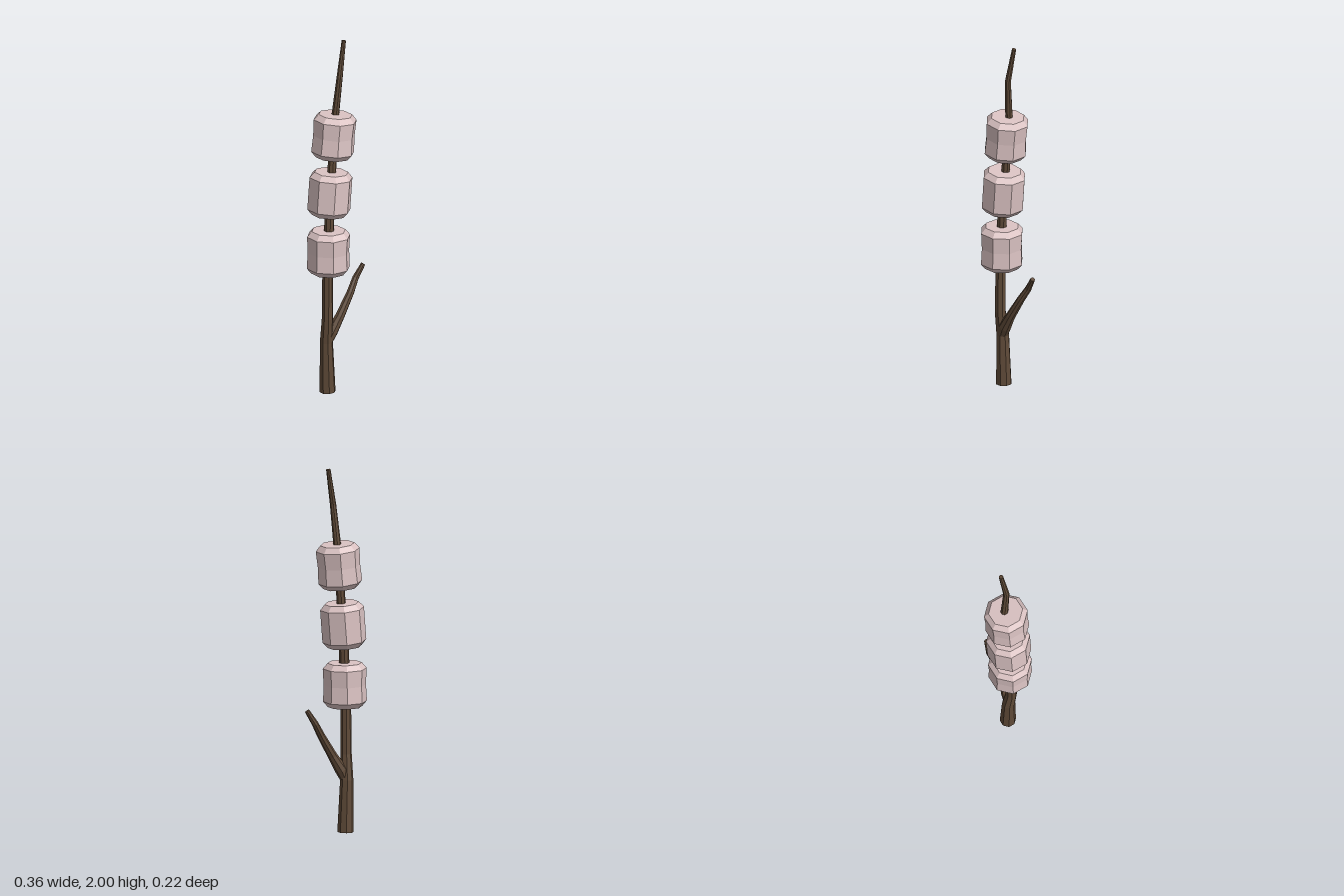
import * as THREE from 'three';

const SIDES = 8;

// Faceted, tapering limb through rows of [x, y, z, radius], closed at both ends
function limb(rows) {
  const centres = rows.map(([x, y, z]) => new THREE.Vector3(x, y, z));
  const last = rows.length - 1;
  const pos = [], index = [];
  rows.forEach(([, , , r], i) => {
    const t = centres[Math.min(i + 1, last)].clone().sub(centres[Math.max(i - 1, 0)]).normalize();
    const u = t.clone().cross(new THREE.Vector3(0, 0, 1)).normalize();
    const v = u.clone().cross(t);
    for (let j = 0; j < SIDES; j++) {
      const a = ((j + 0.5) / SIDES) * Math.PI * 2;
      const p = centres[i].clone().addScaledVector(u, r * Math.cos(a)).addScaledVector(v, r * Math.sin(a));
      pos.push(p.x, p.y, p.z);
    }
  });
  const bottom = pos.length / 3;
  pos.push(...centres[0].toArray(), ...centres[last].toArray());
  for (let j = 0; j < SIDES; j++) {
    const k = (j + 1) % SIDES;
    for (let i = 0; i < last; i++) {
      const a = i * SIDES, b = a + SIDES;
      index.push(a + j, b + j, a + k, a + k, b + j, b + k);
    }
    index.push(bottom, j, k, bottom + 1, last * SIDES + k, last * SIDES + j);
  }
  const g = new THREE.BufferGeometry();
  g.setAttribute('position', new THREE.Float32BufferAttribute(pos, 3));
  g.setIndex(index);
  g.computeVertexNormals();
  return g;
}

// Octagonal marshmallow with bevelled rims and a slightly pinched or bulging waist
function marshmallow(waist) {
  const profile = [[0, -0.12], [0.086, -0.12], [0.11, -0.09], [waist, 0], [0.11, 0.09], [0.086, 0.12], [0, 0.12]];
  const k = 1 / Math.cos(Math.PI / 8);
  return new THREE.LatheGeometry(profile.map(([r, y]) => new THREE.Vector2(r * k, y)), 8, Math.PI / 8);
}

export function createModel() {
  const model = new THREE.Group();
  model.name = 'marshmallowStick';

  const bark = new THREE.MeshStandardMaterial({ color: 0x5f4a38 });
  bark.name = 'bark';
  bark.flatShading = true;
  const candy = new THREE.MeshStandardMaterial({ color: 0xdcc4c4 });
  candy.name = 'marshmallow pink';
  candy.flatShading = true;

  const add = (name, geometry, material) => {
    const mesh = new THREE.Mesh(geometry, material);
    mesh.name = name;
    model.add(mesh);
    return mesh;
  };

  // Crooked main stick
  add('stick', limb([
    [-0.07, 0.005, -0.01, 0.044],
    [-0.078, 0.29, -0.01, 0.036],
    [-0.082, 0.43, 0.005, 0.031],
    [-0.08, 0.7, 0.004, 0.029],
    [-0.068, 1.0, 0.004, 0.027],
    [-0.045, 1.3, -0.003, 0.024],
    [-0.023, 1.58, -0.004, 0.021],
    [-0.009, 1.8, 0.017, 0.017],
    [0.027, 1.998, 0.005, 0.012],
  ]), bark);

  // Forked side twig
  add('sideTwig', limb([
    [-0.085, 0.27, -0.008, 0.026],
    [-0.05, 0.345, 0, 0.034],
    [0.0, 0.425, 0.006, 0.026],
    [0.075, 0.545, 0, 0.021],
    [0.118, 0.615, -0.013, 0.018],
    [0.163, 0.688, -0.005, 0.013],
  ]), bark);

  // Marshmallows threaded on the stick: [name, x, y, z, roll, waist]
  for (const [name, x, y, z, roll, waist] of [
    ['lowerMarshmallow', -0.073, 0.81, 0.002, -0.01, 0.106],
    ['middleMarshmallow', -0.062, 1.14, 0, -0.08, 0.11],
    ['upperMarshmallow', -0.037, 1.465, 0.002, -0.09, 0.106],
  ]) {
    const m = add(name, marshmallow(waist), candy);
    m.position.set(x, y, z);
    m.rotation.z = roll;
  }

  return model;
}
